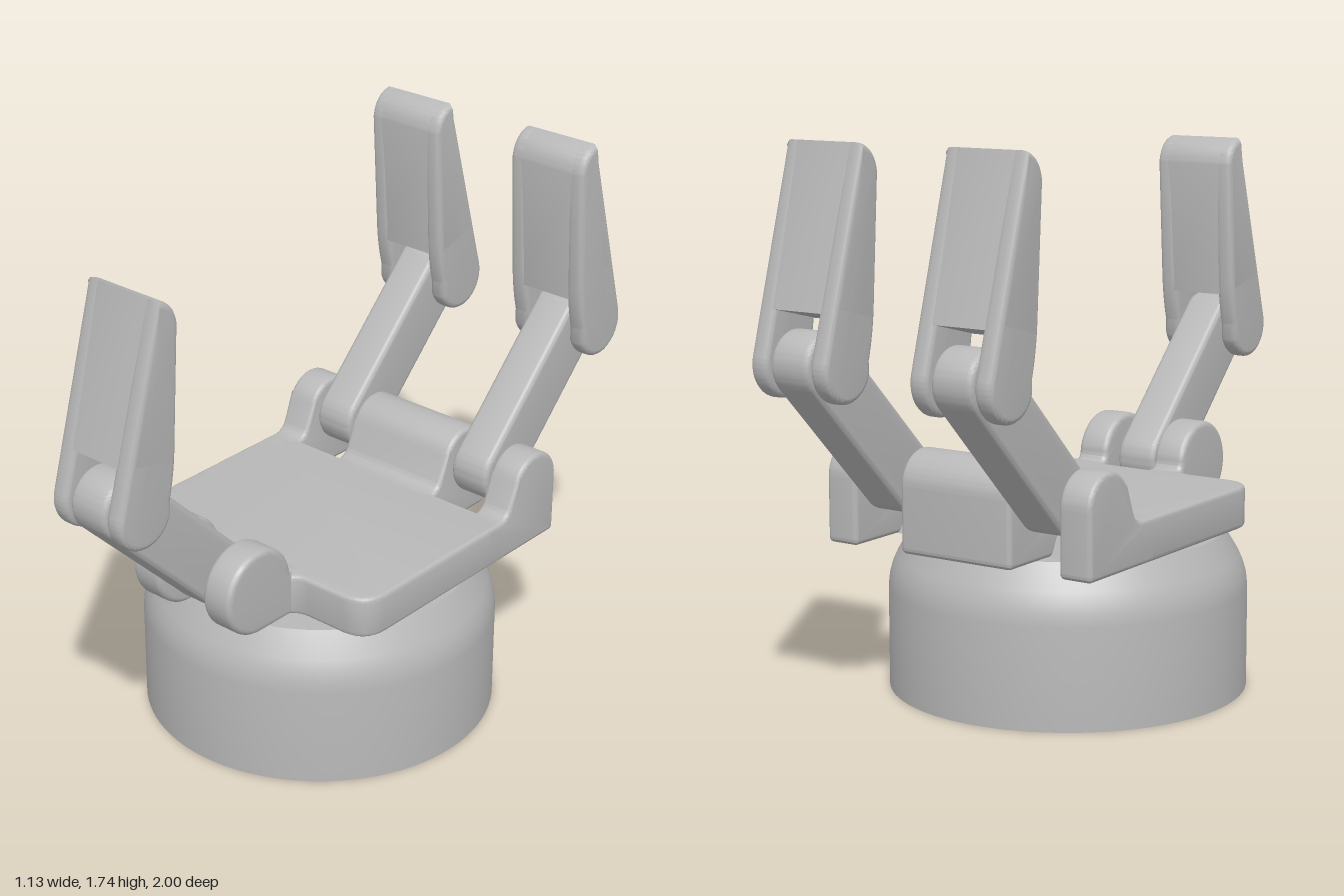
import * as THREE from 'three';
import { toCreasedNormals } from 'three/addons/utils/BufferGeometryUtils.js';

const grey = new THREE.MeshStandardMaterial({ color: 0xb8b8b8 });
grey.name = 'plain grey';

function add(parent, name, geometry, x = 0, y = 0, z = 0) {
  const mesh = new THREE.Mesh(geometry, grey);
  mesh.name = name;
  mesh.position.set(x, y, z);
  parent.add(mesh);
  return mesh;
}

// Extrude a shape with softly rounded rims that stay inside its outline
function slab(shape, thickness, bevel) {
  const depth = thickness - 2 * bevel;
  const g = new THREE.ExtrudeGeometry(shape, {
    depth, curveSegments: 20, bevelEnabled: bevel > 0, bevelSize: bevel,
    bevelThickness: bevel, bevelOffset: -bevel, bevelSegments: 4,
  });
  g.translate(0, 0, -depth / 2);
  return g;
}

// Profile drawn in (z, y), extruded across x and centred on x = 0
function sideSlab(shape, width, bevel) {
  return toCreasedNormals(slab(shape, width, bevel).rotateY(-Math.PI / 2), 0.55);
}

function polygon(points) {
  return new THREE.Shape(points.map(([a, b]) => new THREE.Vector2(a, b)));
}

function pin(width) {
  return toCreasedNormals(new THREE.CylinderGeometry(0.055, 0.055, width, 32).rotateZ(Math.PI / 2), 0.55);
}

// Tapered fingertip outline from the given start, ending on the inner side
function tipEdge(shape) {
  shape.lineTo(-0.075, 0.635);
  shape.quadraticCurveTo(-0.14, 0.62, -0.15, 0.55);
  return shape;
}

// Finger with its root pivot at the origin, reaching toward +z and up
function createFinger() {
  const finger = new THREE.Group();
  const reach = 0.4;

  const link = new THREE.Shape();
  link.absarc(reach, reach, 0.1, -Math.PI / 4, Math.PI * 0.75, false);
  link.absarc(0, 0, 0.1, Math.PI * 0.75, Math.PI * 1.75, false);
  link.closePath();
  add(finger, 'lowerLink', sideSlab(link, 0.14, 0.018));
  add(finger, 'rootPin', pin(0.21));
  add(finger, 'jointPin', pin(0.2), 0, reach, reach);

  // Solid upper part of the tip, above the slanted joint slot
  const body = new THREE.Shape();
  body.moveTo(0.06, 0.16);
  tipEdge(body);
  body.lineTo(-0.119, 0.115);
  body.closePath();
  add(finger, 'fingertip', sideSlab(body, 0.28, 0.018), 0, reach, reach);

  // Two cheeks straddling the joint
  const cheek = new THREE.Shape();
  cheek.moveTo(0.102, 0.025);
  tipEdge(cheek);
  cheek.lineTo(-0.126, 0.16);
  cheek.quadraticCurveTo(-0.12, 0.08, -0.1, 0.01);
  cheek.absarc(0, 0, 0.105, Math.PI * 1.1, Math.PI * 2.06, false);
  for (const s of [-1, 1]) {
    add(finger, 'fingertipCheek', sideSlab(cheek, 0.06, 0.018), s * 0.11, reach, reach);
  }
  return finger;
}

function createBase() {
  const profile = [[0, 0], [0.565, 0], [0.565, 0.32], [0.561, 0.355], [0.552, 0.388],
    [0.538, 0.42], [0.49, 0.5], [0, 0.5]].map(([r, y]) => new THREE.Vector2(r, y));
  return toCreasedNormals(new THREE.LatheGeometry(profile, 96), 0.5);
}

function createPalm() {
  const palm = new THREE.Group();
  palm.name = 'palm';

  // Flat plate: outline in (x, -z), with rounded front corners
  const plate = new THREE.Shape();
  plate.moveTo(-0.48, 0.32);
  plate.lineTo(-0.48, -0.25);
  plate.quadraticCurveTo(-0.475, -0.335, -0.39, -0.34);
  plate.lineTo(-0.25, -0.34);
  plate.quadraticCurveTo(-0.205, -0.342, -0.19, -0.375);
  plate.lineTo(-0.09, -0.375);
  plate.lineTo(-0.09, -0.33);
  plate.lineTo(0.09, -0.33);
  plate.lineTo(0.09, -0.375);
  plate.lineTo(0.19, -0.375);
  plate.quadraticCurveTo(0.205, -0.342, 0.25, -0.34);
  plate.lineTo(0.39, -0.34);
  plate.quadraticCurveTo(0.475, -0.335, 0.48, -0.25);
  plate.lineTo(0.48, 0.32);
  plate.closePath();
  const plateGeometry = slab(plate, 0.135, 0.015).rotateX(-Math.PI / 2);
  add(palm, 'palmPlate', toCreasedNormals(plateGeometry, 0.55), 0, 0.5675, 0);

  // Rear hinge lugs: one wide in the middle, one on each side
  const lug = new THREE.Shape();
  lug.moveTo(-0.25, 0.635);
  lug.lineTo(-0.32, 0.635);
  lug.quadraticCurveTo(-0.35, 0.637, -0.363, 0.665);
  lug.lineTo(-0.398, 0.745);
  lug.absarc(-0.495, 0.705, 0.105, 0.39, Math.PI, false);
  lug.lineTo(-0.6, 0.52);
  lug.quadraticCurveTo(-0.6, 0.5, -0.58, 0.5);
  lug.lineTo(-0.25, 0.5);
  lug.closePath();
  add(palm, 'rearMiddleLug', sideSlab(lug, 0.4, 0.015));

  // Slanted wall at the bottom of each rear slot
  const wall = polygon([[-0.28, 0.635], [-0.32, 0.635], [-0.385, 0.5], [-0.28, 0.5]]);

  // Round front knuckle with a neck into the plate
  const knuckle = new THREE.Shape();
  knuckle.moveTo(0.28, 0.5);
  knuckle.lineTo(0.495, 0.5);
  knuckle.absarc(0.495, 0.638, 0.138, -Math.PI / 2, Math.PI * 0.93, false);
  knuckle.quadraticCurveTo(0.36, 0.637, 0.335, 0.635);
  knuckle.lineTo(0.28, 0.635);
  knuckle.closePath();

  for (const s of [-1, 1]) {
    add(palm, 'rearSideLug', sideSlab(lug, 0.11, 0.015), s * 0.425);
    add(palm, 'rearSlotWall', sideSlab(wall, 0.2, 0), s * 0.285);
    add(palm, 'frontKnuckle', sideSlab(knuckle, 0.11, 0.018), s * 0.145);
  }
  return palm;
}

export function createModel() {
  const model = new THREE.Group();
  model.name = 'threeFingerGripper';
  add(model, 'base', createBase());
  model.add(createPalm());

  // Opposing front finger
  const thumb = createFinger();
  thumb.name = 'frontFinger';
  thumb.position.set(0, 0.64, 0.495);
  model.add(thumb);

  // Rear pair, turned to face it
  for (const s of [-1, 1]) {
    const finger = createFinger();
    finger.name = s > 0 ? 'rearLeftFinger' : 'rearRightFinger';
    finger.position.set(s * 0.285, 0.705, -0.495);
    finger.rotation.y = Math.PI;
    model.add(finger);
  }
  return model;
}
